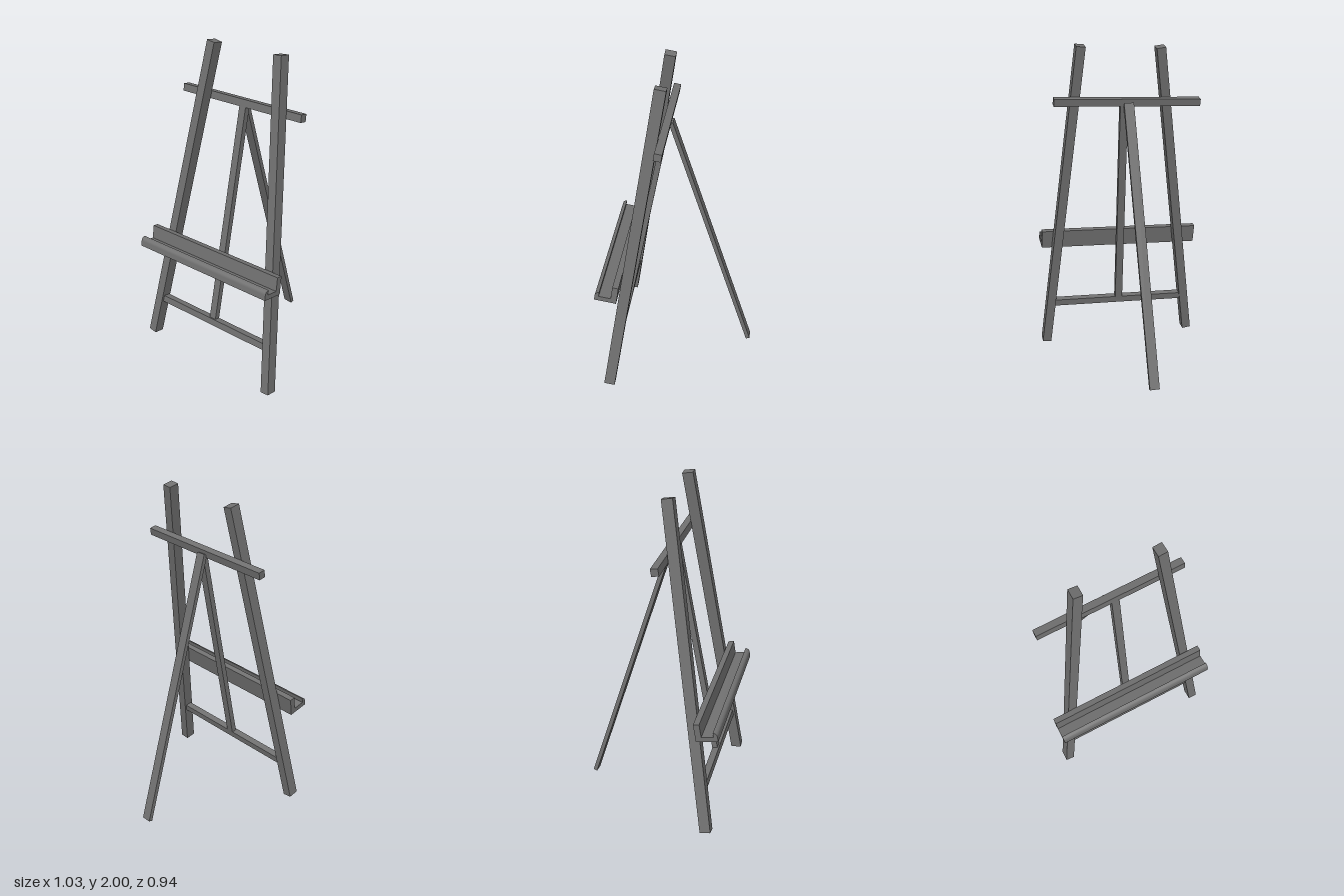
import * as THREE from 'three';

const V = (x, y, z) => new THREE.Vector3(x, y, z);
const material = new THREE.MeshStandardMaterial({ color: 0x727272, flatShading: true });

// Shared directions of the leaning, slightly skewed front frame
const across = V(1.018, 0.033, -0.027).normalize();
const up = V(0, 0.987, -0.163).addScaledVector(across, -V(0, 0.987, -0.163).dot(across)).normalize();
const forward = across.clone().cross(up);

// Square-cut bar from a to b; its depth points along the hint direction
function beam(name, a, b, width, depth, hint = forward) {
  const y = b.clone().sub(a);
  const length = y.length();
  y.normalize();
  const x = y.clone().cross(hint).normalize();
  const z = x.clone().cross(y);
  const mesh = new THREE.Mesh(new THREE.BoxGeometry(width, length, depth), material);
  mesh.name = name;
  mesh.quaternion.setFromRotationMatrix(new THREE.Matrix4().makeBasis(x, y, z));
  mesh.position.copy(a).add(b).multiplyScalar(0.5);
  return mesh;
}

// Ledge with a tall back board, a floor and a low lip rounded at the front
function makeTray() {
  const profile = new THREE.Shape();
  profile.moveTo(0, 0);
  profile.lineTo(0.132, 0);
  profile.lineTo(0.132, 0.034);
  profile.quadraticCurveTo(0.131, 0.053, 0.108, 0.06);
  profile.lineTo(0.108, 0.03);
  profile.lineTo(0.036, 0.03);
  profile.lineTo(0.036, 0.114);
  profile.lineTo(0, 0.114);
  const geometry = new THREE.ExtrudeGeometry(profile, { depth: 1.018, bevelEnabled: false, curveSegments: 8 });
  const mesh = new THREE.Mesh(geometry, material);
  mesh.name = 'tray';
  mesh.quaternion.setFromRotationMatrix(
    new THREE.Matrix4().makeBasis(forward, up, across.clone().negate()));
  mesh.position.set(0.508, 0.683, 0.312);
  return mesh;
}

export function createModel() {
  const group = new THREE.Group();
  group.name = 'easel';
  group.add(
    // Front legs
    beam('leftFrontLeg', V(0.488, 0.01, 0.383), V(0.277, 1.99, 0.064), 0.056, 0.066),
    beam('rightFrontLeg', V(-0.486, 0.01, 0.407), V(-0.207, 1.972, 0.082), 0.056, 0.066),
    // Rails
    beam('topRail', V(-0.457, 1.636, 0.081), V(0.441, 1.666, 0.06), 0.045, 0.044),
    beam('lowerRail', V(-0.43, 0.266, 0.361), V(0.44, 0.294, 0.337), 0.042, 0.042),
    // Middle strut between the rails and the rear prop
    beam('middleStrut', V(0.002, 0.285, 0.343), V(0.017, 1.645, 0.072), 0.047, 0.034),
    beam('backLeg', V(-0.058, 0.008, -0.457), V(-0.009, 1.645, 0.05), 0.06, 0.025, V(0, 0, 1)),
    makeTray(),
  );
  return group;
}
